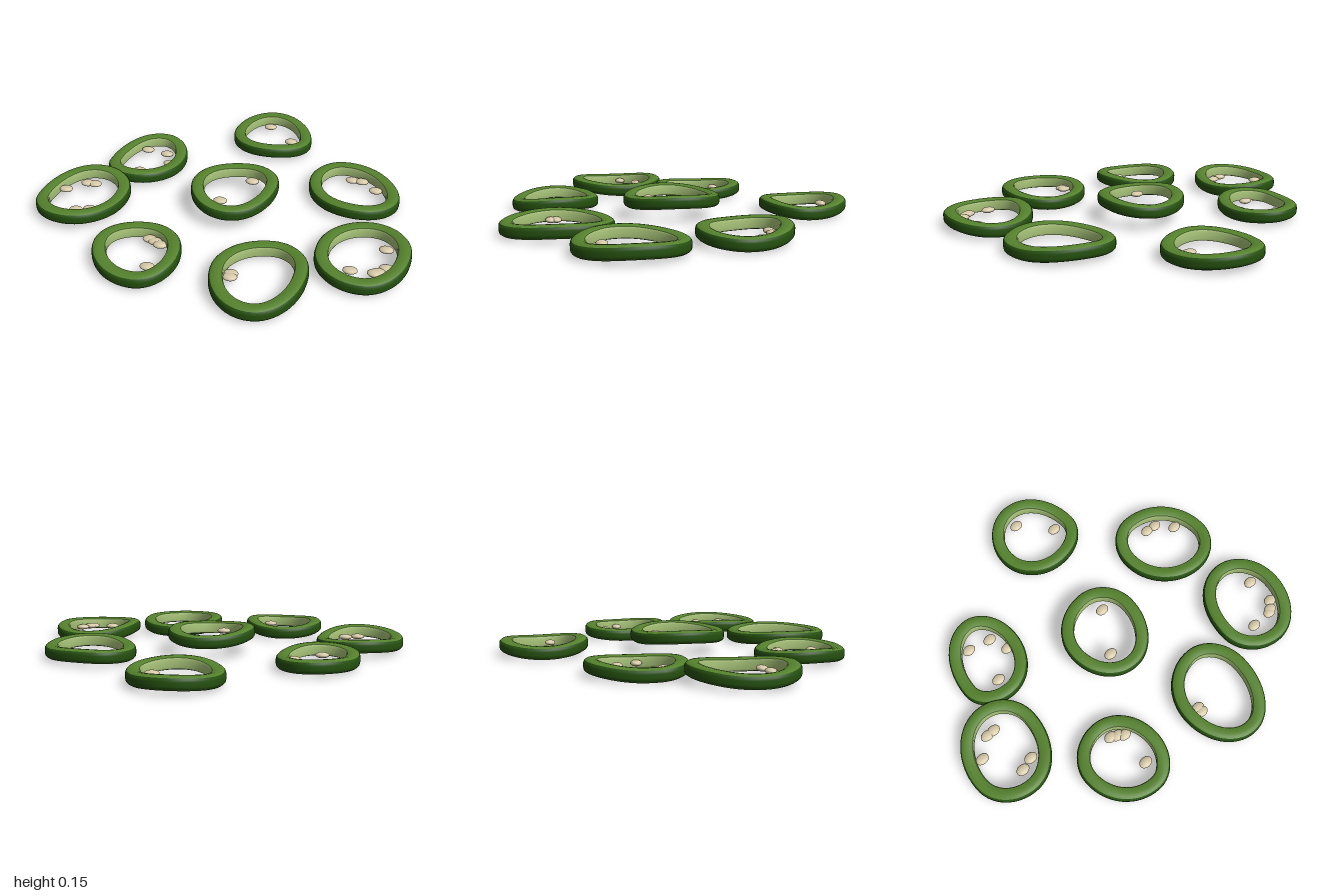
import * as THREE from 'three';

const mat = (name, color) => new THREE.MeshStandardMaterial({ name, color });

// Each slice: centre, half sizes, shift of its top/right/bottom/left extreme, height, saddle warp, seeds [x, z]
const SLICES = [
  { c: [0.15, -0.705], r: [0.238, 0.238], s: [-0.013, 0.05, 0, 0], y: 0.056, warp: -0.01,
    seeds: [[0.115, -0.826], [0.265, -0.666]] },
  { c: [-0.52, -0.305], r: [0.214, 0.249], s: [0.037, -0.025, -0.016, 0.08], y: 0.05, warp: -0.008,
    seeds: [[-0.559, -0.414], [-0.436, -0.388], [-0.393, -0.286], [-0.543, -0.179]] },
  { c: [-0.76, 0.152], r: [0.24, 0.267], s: [0.027, -0.053, -0.01, 0.05], y: 0.06, warp: -0.01,
    seeds: [[-0.783, 0.024], [-0.741, 0.024], [-0.88, 0.104], [-0.757, 0.286], [-0.687, 0.265]] },
  { c: [-0.334, 0.586], r: [0.225, 0.24], s: [0.005, 0.02, 0.043, -0.03], y: 0.057, warp: 0.009,
    seeds: [[-0.302, 0.457], [-0.27, 0.473], [-0.238, 0.495], [-0.254, 0.676]] },
  { c: [0.048, 0.016], r: [0.233, 0.254], s: [0.035, -0.04, 0, 0], y: 0.112, warp: 0.009,
    seeds: [[0.126, -0.094], [-0.008, 0.126]] },
  { c: [0.676, -0.184], r: [0.25, 0.25], s: [-0.07, 0.053, 0.037, -0.053], y: 0.053, warp: -0.008,
    seeds: [[0.66, -0.307], [0.714, -0.302], [0.794, -0.222]] },
  { c: [0.762, 0.39], r: [0.235, 0.27], s: [0.027, -0.027, 0, 0.053], y: 0.056, warp: 0.009,
    seeds: [[0.874, 0.313], [0.88, 0.463], [0.842, 0.5], [0.826, 0.511], [0.709, 0.511]] },
  { c: [0.286, 0.658], r: [0.235, 0.281], s: [0.037, -0.05, 0, 0], y: 0.053, warp: 0.007,
    seeds: [[0.152, 0.644], [0.152, 0.671]] },
];

// Cross-section bands, each point [distance in from the outer edge, height], running outside > top > inside > bottom
const BANDS = {
  skin: [[0.008, -0.027], [0.002, -0.02], [0, -0.01], [0, 0.01], [0.002, 0.02], [0.008, 0.027]],
  cutTop: [[0.008, 0.027], [0.018, 0.033], [0.034, 0.035], [0.052, 0.033], [0.066, 0.028]],
  innerWall: [[0.066, 0.028], [0.07, 0.018], [0.07, -0.018], [0.066, -0.028]],
  cutBottom: [[0.066, -0.028], [0.052, -0.033], [0.034, -0.035], [0.018, -0.033], [0.008, -0.027]],
};

// Closed outline through the four extremes, as points with an inward direction
function outline({ r: [rx, rz], s: [top, right, bottom, left] }, steps = 16) {
  const k = 0.555;
  const corners = [[rx, right], [bottom, rz], [-rx, left], [top, -rz]].map(p => new THREE.Vector2(...p));
  const points = [];
  corners.forEach((a, q) => {
    const b = corners[(q + 1) % 4];
    const vertical = q % 2 === 0; // side extremes leave along z, the others along x
    const h1 = vertical ? new THREE.Vector2(a.x, a.y + (b.y - a.y) * k) : new THREE.Vector2(a.x + (b.x - a.x) * k, a.y);
    const h2 = vertical ? new THREE.Vector2(b.x + (a.x - b.x) * k, b.y) : new THREE.Vector2(b.x, b.y + (a.y - b.y) * k);
    const curve = new THREE.CubicBezierCurve(a, h1, h2, b);
    for (let i = 0; i < steps; i++) {
      const p = curve.getPoint(i / steps), t = curve.getTangent(i / steps);
      points.push({ x: p.x, z: p.y, nx: -t.y, nz: t.x });
    }
  });
  return points;
}

// Sweeps one band of the cross-section around the outline
function sweep(points, band, warp) {
  const pos = [], index = [], n = points.length, m = band.length;
  points.forEach((p, i) => {
    const lift = warp * Math.cos(2 * Math.atan2(p.z, p.x));
    for (const [d, v] of band) pos.push(p.x + p.nx * d, v + lift, p.z + p.nz * d);
    for (let j = 0; j < m - 1; j++) {
      const a = i * m + j, b = ((i + 1) % n) * m + j;
      index.push(a, a + 1, b, a + 1, b + 1, b);
    }
  });
  const g = new THREE.BufferGeometry();
  g.setAttribute('position', new THREE.Float32BufferAttribute(pos, 3));
  g.setIndex(index);
  g.computeVertexNormals();
  return g;
}

export function createModel() {
  const flesh = mat('fleshGreen', 0x55822d);
  const materials = {
    skin: mat('skinGreen', 0x25500f),
    cutTop: flesh,
    innerWall: mat('paleGreen', 0xa9c57a),
    cutBottom: flesh,
  };
  const seedMat = mat('seedCream', 0xd6c9a8);
  const seedGeo = new THREE.SphereGeometry(1, 20, 12).scale(0.037, 0.015, 0.028);

  const model = new THREE.Group();
  model.name = 'pepperSlices';
  for (const slice of SLICES) {
    const group = new THREE.Group();
    group.name = 'pepperSlice';
    group.position.set(slice.c[0], slice.y, slice.c[1]);

    // Ring
    const points = outline(slice);
    for (const part in BANDS) {
      const mesh = new THREE.Mesh(sweep(points, BANDS[part], slice.warp), materials[part]);
      mesh.name = part;
      group.add(mesh);
    }

    // Seeds clinging to the inner wall
    for (const [x, z] of slice.seeds) {
      const seed = new THREE.Mesh(seedGeo, seedMat);
      seed.name = 'seed';
      seed.position.set(x - slice.c[0], -0.008, z - slice.c[1]);
      group.add(seed);
    }
    model.add(group);
  }
  return model;
}
